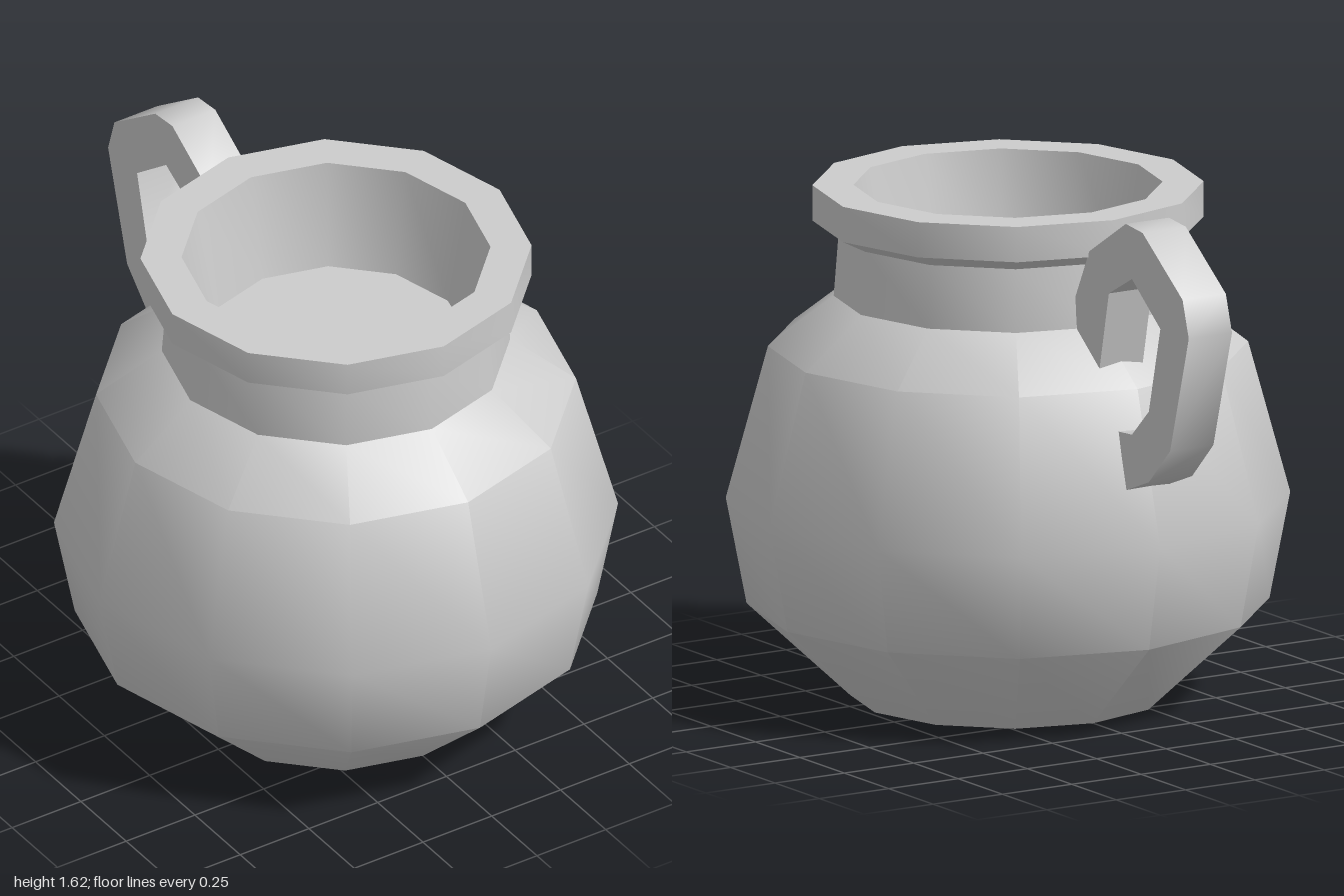
import * as THREE from 'three';
import { toCreasedNormals } from 'three/addons/utils/BufferGeometryUtils.js';

const CREASE = 0.7; // keeps neck, rim and handle edges sharp
const points = (list) => list.map(([x, y]) => new THREE.Vector2(x, y));

export function createModel() {
  const model = new THREE.Group();
  model.name = 'jug';
  const clay = new THREE.MeshStandardMaterial({ color: 0xcccccc });
  clay.name = 'grey clay';

  const addPart = (name, geometry) => {
    const mesh = new THREE.Mesh(toCreasedNormals(geometry, CREASE), clay);
    mesh.name = name;
    model.add(mesh);
    return mesh;
  };

  // Twelve-sided pot: base, belly, neck, flared rim, then down to the inner floor
  const profile = points([
    [0, 0], [0.48, 0], [0.795, 0.29], [0.858, 0.62], [0.73, 1.09], [0.53, 1.245],
    [0.515, 1.44], [0.595, 1.48], [0.595, 1.59], [0.47, 1.59], [0.407, 1.25], [0, 1.25],
  ]);
  addPart('pot', new THREE.LatheGeometry(profile, 12)).position.z = 0.14;

  // Handle: a hooked band, outlined as (distance behind centre, height)
  const outline = new THREE.Shape(points([
    [0.38, 1.2], [0.355, 1.33], [0.44, 1.5], [0.645, 1.625], [0.74, 1.615], [0.965, 1.45],
    [1.0, 1.335], [0.895, 0.965], [0.775, 0.845], [0.645, 0.795],
    [0.605, 0.97], [0.68, 0.975], [0.775, 1.065], [0.84, 1.335], [0.68, 1.46],
    [0.55, 1.39], [0.49, 1.11],
  ]));
  const width = 0.156;
  const handle = new THREE.ExtrudeGeometry(outline, { depth: width, bevelEnabled: false });
  handle.translate(0, 0, -width / 2).rotateY(Math.PI / 2);
  addPart('handle', handle);

  return model;
}
